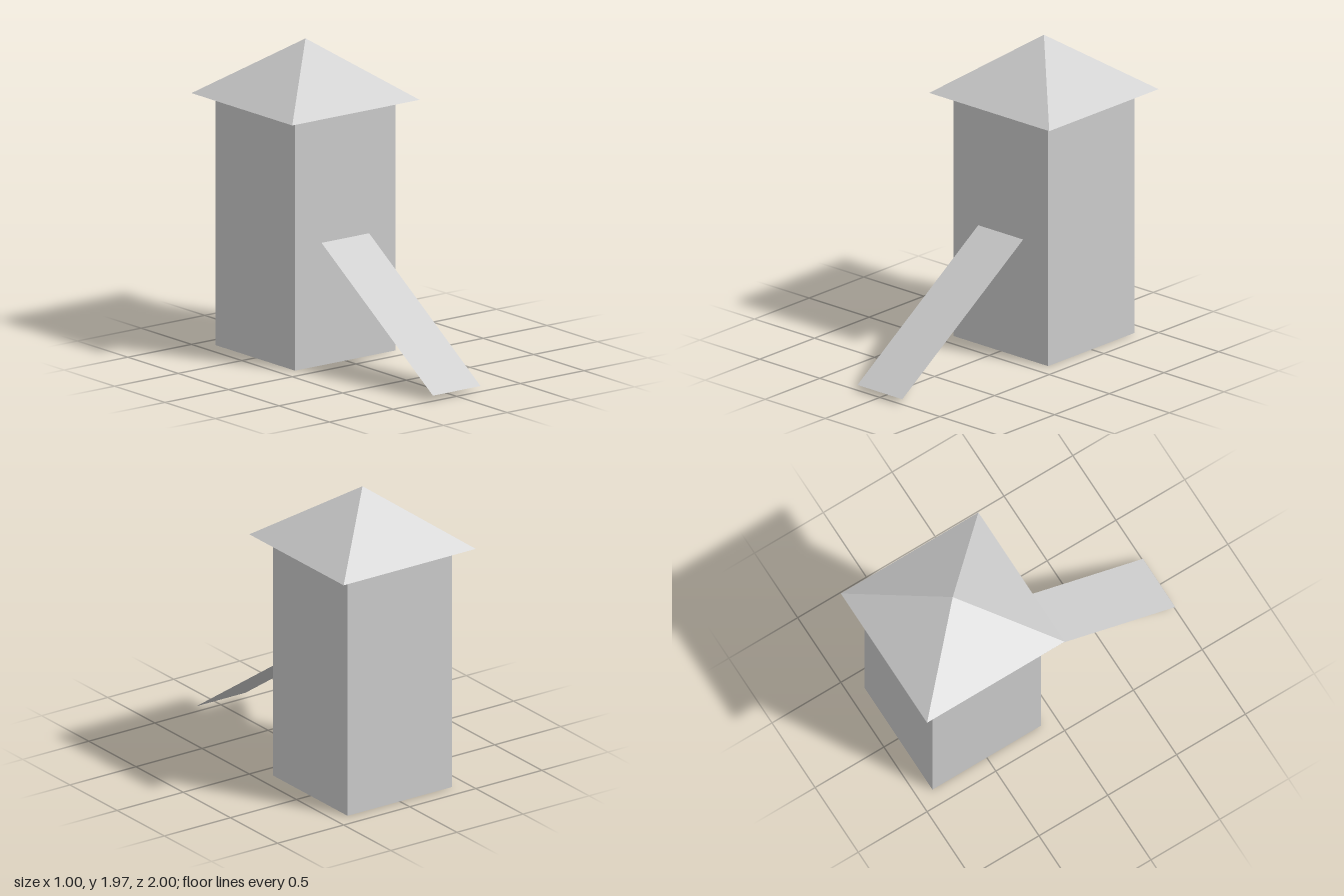
import * as THREE from 'three';

export function createModel() {
  const group = new THREE.Group();
  const grey = new THREE.MeshStandardMaterial({ color: 0xcccccc, side: THREE.DoubleSide, flatShading: true });
  grey.name = 'plain grey';
  const towerZ = -0.5;

  // Open four-sided shell with straight or tapering walls
  function addShell(name, topHalf, bottomHalf, y0, y1) {
    const geometry = new THREE.CylinderGeometry(
      topHalf * Math.SQRT2, bottomHalf * Math.SQRT2, y1 - y0, 4, 1, true);
    geometry.rotateY(Math.PI / 4);
    const mesh = new THREE.Mesh(geometry, grey);
    mesh.name = name;
    mesh.position.set(0, (y0 + y1) / 2, towerZ);
    group.add(mesh);
  }
  addShell('towerWalls', 0.395, 0.395, 0, 1.6);
  addShell('roof', 0, 0.5, 1.6, 1.97);

  // Thin sloping slide from the front wall towards the ground
  const top = new THREE.Vector2(-0.108, 0.782); // z, y
  const foot = new THREE.Vector2(1, 0.035);
  const run = foot.x - top.x;
  const drop = top.y - foot.y;
  const slideGeometry = new THREE.PlaneGeometry(0.374, Math.hypot(run, drop));
  slideGeometry.rotateX(-Math.PI / 2 + Math.atan2(drop, run));
  const slide = new THREE.Mesh(slideGeometry, grey);
  slide.name = 'slide';
  slide.position.set(0, (top.y + foot.y) / 2, (top.x + foot.x) / 2);
  group.add(slide);

  return group;
}
